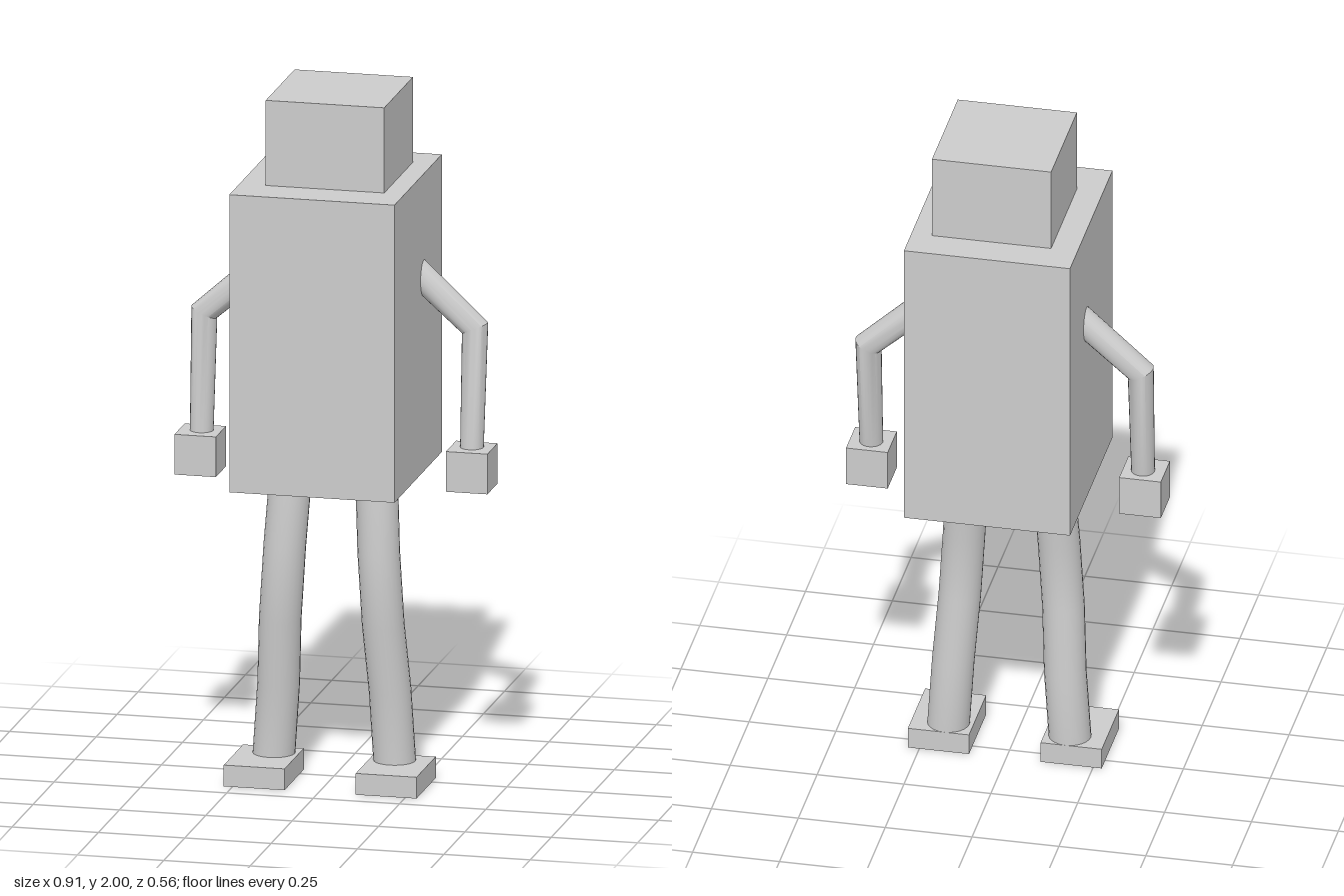
import * as THREE from 'three';
import { toCreasedNormals } from 'three/addons/utils/BufferGeometryUtils.js';

const material = new THREE.MeshStandardMaterial({ color: 0xcccccc });
const SIDES = 24;

// Box given by its min and max corners
function box(name, [x0, y0, z0], [x1, y1, z1]) {
  const mesh = new THREE.Mesh(new THREE.BoxGeometry(x1 - x0, y1 - y0, z1 - z0), material);
  mesh.position.set((x0 + x1) / 2, (y0 + y1) / 2, (z0 + z1) / 2);
  mesh.name = name;
  return mesh;
}

// Round limb through joints [x, y, z, radius]; rings at inner joints lie on the mitre plane
function limb(name, joints) {
  const points = joints.map(([x, y, z]) => new THREE.Vector3(x, y, z));
  const last = points.length - 1;
  const positions = [], indices = [];
  const direction = (i) => points[i + 1].clone().sub(points[i]).normalize();
  points.forEach((p, i) => {
    const tangent = direction(Math.min(i, last - 1));
    if (i > 0 && i < last) tangent.add(direction(i - 1)).normalize();
    const u = new THREE.Vector3(0, 0, 1).addScaledVector(tangent, -tangent.z).normalize();
    const v = tangent.clone().cross(u);
    for (let s = 0; s < SIDES; s++) {
      const a = (s / SIDES) * Math.PI * 2, r = joints[i][3];
      const q = p.clone().addScaledVector(u, r * Math.cos(a)).addScaledVector(v, r * Math.sin(a));
      positions.push(q.x, q.y, q.z);
    }
  });
  for (let i = 0; i < last; i++) {
    for (let s = 0; s < SIDES; s++) {
      const a = i * SIDES + s, b = i * SIDES + (s + 1) % SIDES;
      indices.push(a, b, b + SIDES, a, b + SIDES, a + SIDES);
    }
  }
  const geometry = new THREE.BufferGeometry();
  geometry.setAttribute('position', new THREE.Float32BufferAttribute(positions, 3));
  geometry.setIndex(indices);
  const mesh = new THREE.Mesh(toCreasedNormals(geometry, Math.PI / 6), material);
  mesh.name = name;
  return mesh;
}

export function createModel() {
  const model = new THREE.Group();
  model.name = 'blockFigure';

  // Torso and head
  model.add(
    box('torso', [-0.235, 0.885, -0.283], [0.243, 1.752, 0.281]),
    box('head', [-0.159, 1.752, -0.183], [0.184, 2, 0.16]),
  );

  // Limbs: the left side sits slightly further out than the right
  for (const [side, s, shift] of [['left', 1, 0.008], ['right', -1, 0]]) {
    const X = (x) => s * (x + shift);
    const armZ = side === 'left' ? -0.07 : -0.063;
    model.add(
      limb(side + 'Arm', [
        [X(0.2), 1.479, armZ, 0.04],
        [s * 0.391, 1.312, armZ, 0.04],
        [s * 0.391, 0.95, -0.03, 0.033],
      ]),
      limb(side + 'Leg', [
        [X(0.118), 0.92, 0.016, 0.06],
        [X(0.132), 0.675, 0.045, 0.06],
        [X(0.145), 0.465, 0.045, 0.06],
        [X(0.157), 0.27, 0.014, 0.06],
        [X(0.172), 0.04, 0.014, 0.06],
      ]),
    );
    const hand = box(side + 'Hand', [-0.06, 0.858, -0.087], [0.06, 0.975, 0.034]);
    hand.position.x = s * 0.393 - 0.001;
    const foot = box(side + 'Foot', [-0.088, 0, -0.046], [0.088, 0.062, 0.183]);
    foot.position.x = X(0.187);
    model.add(hand, foot);
  }
  return model;
}
